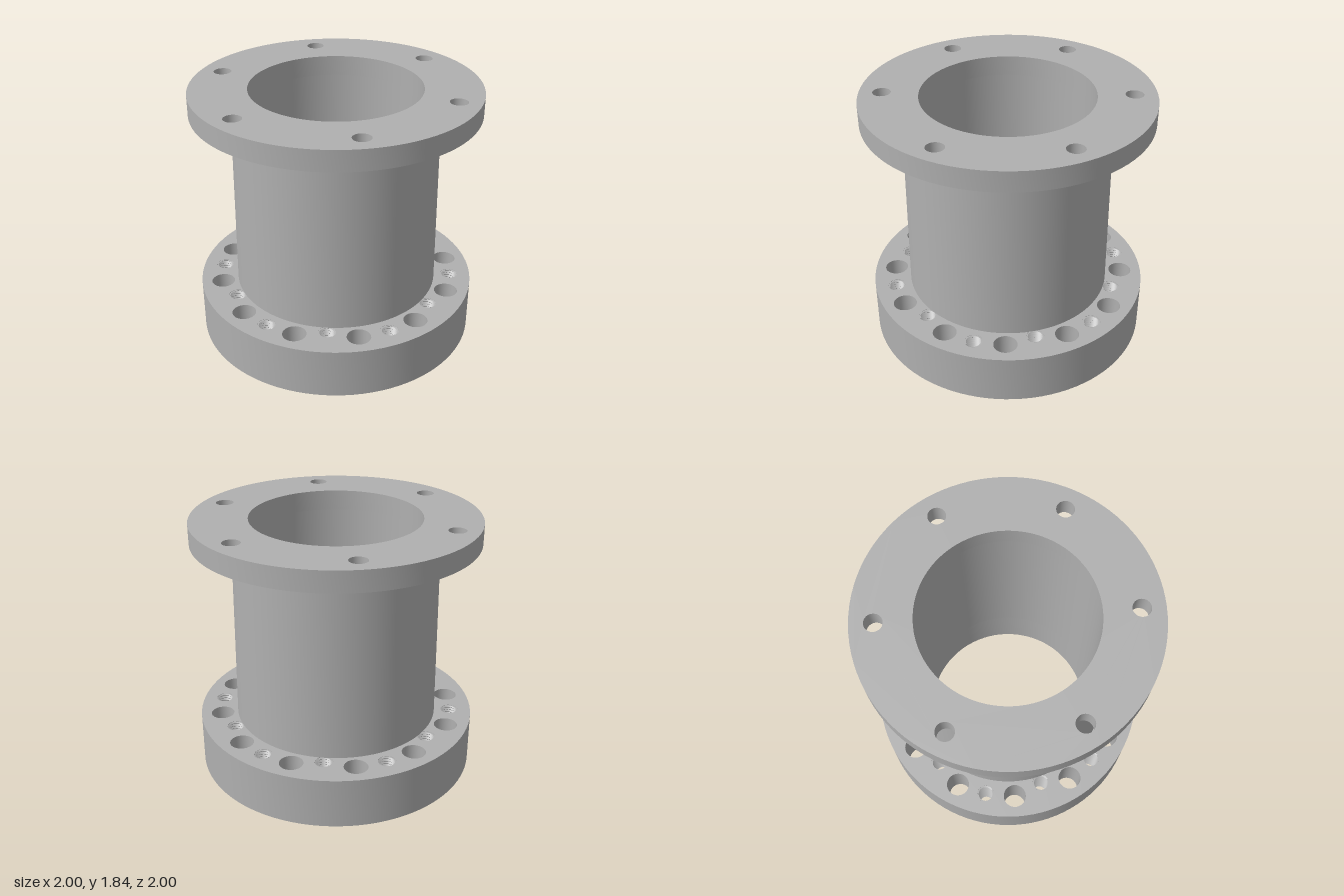
import * as THREE from 'three';
import { toCreasedNormals } from 'three/addons/utils/BufferGeometryUtils.js';

const HEIGHT = 1.835, BASE_TOP = 0.365, RIM_BOTTOM = 1.69, BOLT_R = 0.845;
const steel = new THREE.MeshStandardMaterial({ color: 0xb0b0b0 });
steel.name = 'steel grey';

// slightly conical bore
const boreRadius = (y) => 0.617 - (0.02 * y) / HEIGHT;

function circlePoints(cx, cy, r, n) {
  return Array.from({ length: n }, (_, i) => {
    const a = (i / n) * Math.PI * 2;
    return new THREE.Vector2(cx + r * Math.cos(a), cy + r * Math.sin(a));
  });
}

// evenly spaced holes on a circle
function ring(count, startDeg, circleR, r) {
  return Array.from({ length: count }, (_, i) => {
    const a = THREE.MathUtils.degToRad(startDeg + (i * 360) / count);
    return { x: circleR * Math.cos(a), z: circleR * Math.sin(a), r };
  });
}

// drilled disc whose centre hole follows the conical bore
function flange(name, y0, y1, holes) {
  const shape = new THREE.Shape(circlePoints(0, 0, 1, 96));
  shape.holes.push(new THREE.Path(circlePoints(0, 0, 0.61, 96)));
  for (const h of holes) shape.holes.push(new THREE.Path(circlePoints(h.x, -h.z, h.r, 32)));
  const geo = new THREE.ExtrudeGeometry(shape, { depth: y1 - y0, bevelEnabled: false });
  geo.rotateX(-Math.PI / 2).translate(0, y0, 0);
  const p = geo.attributes.position;
  for (let i = 0; i < p.count; i++) {
    const r = Math.hypot(p.getX(i), p.getZ(i));
    if (r > 0.63) continue;
    const k = boreRadius(p.getY(i)) / r;
    p.setX(i, p.getX(i) * k);
    p.setZ(i, p.getZ(i) * k);
  }
  const mesh = new THREE.Mesh(toCreasedNormals(geo, 0.6), steel);
  mesh.name = name;
  return mesh;
}

// helical internal thread, facing the hole's axis
function threadGeometry(r, depth, height, turns) {
  const pitch = height / turns, profile = [];
  for (let i = 2 * turns; i >= -2; i--) {
    profile.push(new THREE.Vector2(i % 2 ? r - depth : r, (i * pitch) / 2));
  }
  const geo = new THREE.LatheGeometry(profile, 24);
  const p = geo.attributes.position, uv = geo.attributes.uv;
  for (let i = 0; i < p.count; i++) {
    const y = p.getY(i) + uv.getX(i) * pitch;
    p.setY(i, THREE.MathUtils.clamp(y, 0.002, height - 0.002));
  }
  return toCreasedNormals(geo, 0.5);
}

export function createModel() {
  const model = new THREE.Group();
  model.name = 'flangedSpool';

  // base flange: plain holes with staggered threaded holes between them
  const plain = ring(12, 0, BOLT_R, 0.083);
  const threaded = [...ring(6, 15, 0.785, 0.063), ...ring(6, 45, BOLT_R, 0.063)];
  model.add(flange('baseFlange', 0, BASE_TOP, [...plain, ...threaded]));

  const threadGeo = threadGeometry(0.063, 0.011, BASE_TOP, 18);
  const threads = new THREE.Group();
  threads.name = 'threads';
  for (const h of threaded) {
    const thread = new THREE.Mesh(threadGeo, steel);
    thread.name = 'thread';
    thread.position.set(h.x, 0, h.z);
    threads.add(thread);
  }
  model.add(threads);

  // top flange with six bolt holes
  model.add(flange('topFlange', RIM_BOTTOM, HEIGHT, ring(6, 0, BOLT_R, 0.062)));

  // tapered barrel between the flanges, outside wall then bore
  const walls = [
    ['barrel', [[0.7, BASE_TOP], [0.733, BASE_TOP], [0.717, RIM_BOTTOM]]],
    ['bore', [[boreRadius(RIM_BOTTOM), RIM_BOTTOM], [boreRadius(BASE_TOP), BASE_TOP]]],
  ];
  for (const [name, pts] of walls) {
    const geo = new THREE.LatheGeometry(pts.map(([r, y]) => new THREE.Vector2(r, y)), 96);
    const wall = new THREE.Mesh(toCreasedNormals(geo, 0.6), steel);
    wall.name = name;
    model.add(wall);
  }
  return model;
}
